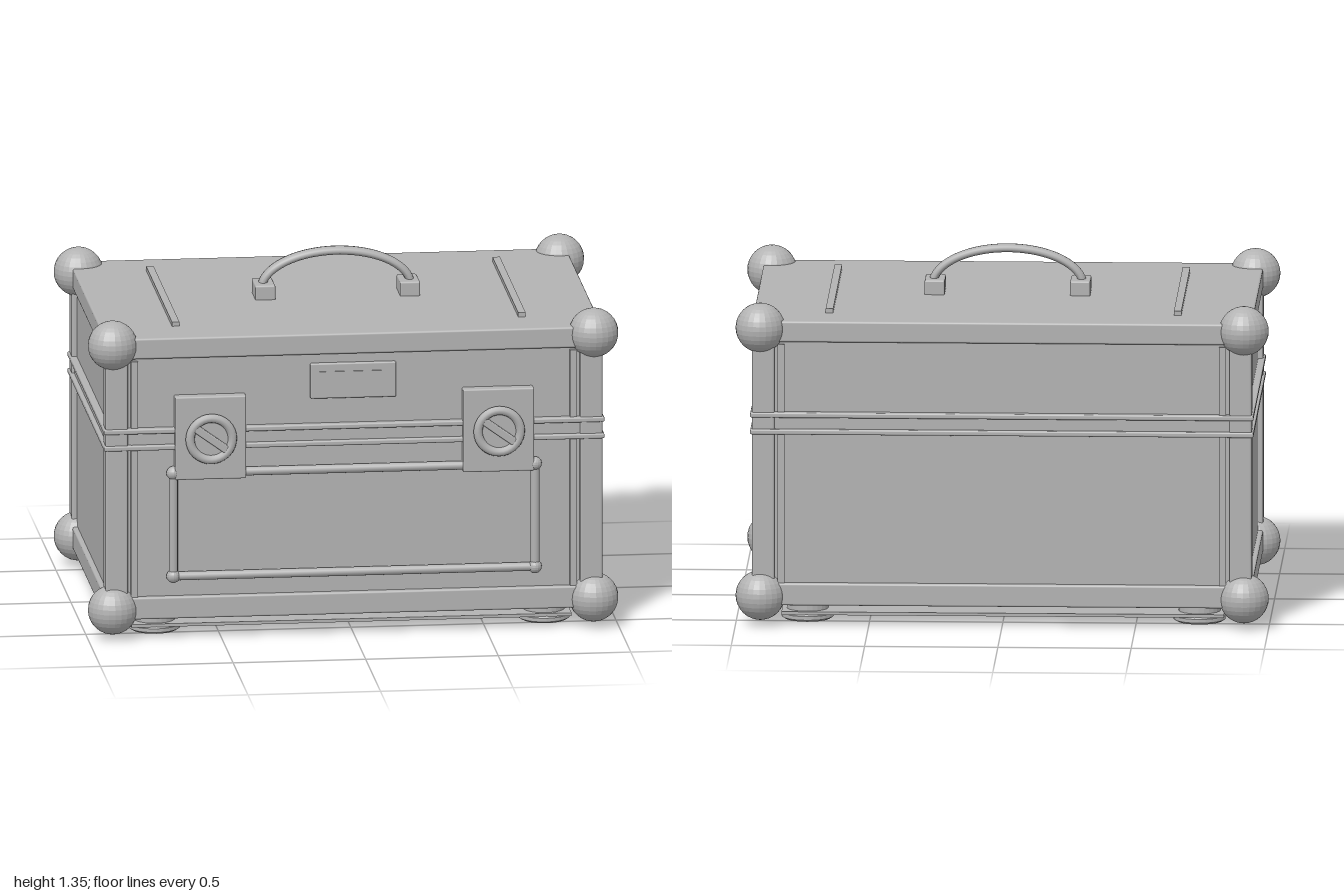
import * as THREE from 'three';
import { RoundedBoxGeometry } from 'three/addons/geometries/RoundedBoxGeometry.js';

export function createModel() {
  const model = new THREE.Group();
  model.name = 'equipmentCase';
  const grey = new THREE.MeshStandardMaterial({ color: 0xb3b3b3 });
  grey.name = 'plain grey';

  function add(name, geometry, x = 0, y = 0, z = 0, parent = model) {
    const mesh = new THREE.Mesh(geometry, grey);
    mesh.name = name;
    mesh.position.set(x, y, z);
    parent.add(mesh);
    return mesh;
  }
  // Box given by its limits, with softened edges when r > 0
  function box(name, x0, x1, y0, y1, z0, z1, r = 0, parent = model) {
    const w = x1 - x0, h = y1 - y0, d = z1 - z0;
    const g = r ? new RoundedBoxGeometry(w, h, d, 2, r) : new THREE.BoxGeometry(w, h, d);
    return add(name, g, (x0 + x1) / 2, (y0 + y1) / 2, (z0 + z1) / 2, parent);
  }
  // Faceted ball
  function ball(radius, w, h) {
    const g = new THREE.SphereGeometry(radius, w, h).toNonIndexed();
    g.computeVertexNormals();
    return g;
  }
  const sides = [-1, 1];

  // Body panels, lid and base rails
  box('bodyPanels', -0.918, 0.918, 0.1, 1.15, -0.592, 0.592);
  box('baseRail', -0.937, 0.937, 0.085, 0.17, -0.613, 0.613, 0.008);
  box('lidRail', -0.937, 0.937, 1.09, 1.17, -0.613, 0.613, 0.008);

  // Seam band with two raised lips
  box('seamBand', -0.928, 0.928, 0.757, 0.802, -0.603, 0.603);
  for (const y of [0.738, 0.802]) {
    box('seamLip', -0.944, 0.944, y, y + 0.02, -0.619, 0.619, 0.006);
  }

  // Corner posts, edge strips, ball corners and feet
  const footProfile = [[0, 0], [0.085, 0], [0.098, 0.008], [0.098, 0.022], [0.088, 0.03],
    [0.078, 0.03], [0.078, 0.09], [0, 0.09]].map(p => new THREE.Vector2(...p));
  for (const sx of sides) {
    for (const sz of sides) {
      const post = new RoundedBoxGeometry(0.084, 0.96, 0.084, 2, 0.008);
      add('cornerPost', post, sx * 0.895, 0.63, sz * 0.571);
      add('edgeStrip', new THREE.BoxGeometry(0.026, 0.91, 0.03), sx * 0.828, 0.625, sz * 0.59);
      for (const y of [0.118, 1.139]) {
        add('ballCorner', ball(0.093, 24, 16), sx * 0.907, y, sz * 0.577);
      }
      const foot = new THREE.LatheGeometry(footProfile, 24).toNonIndexed();
      foot.computeVertexNormals();
      add('foot', foot, sx * 0.735, 0.006, sz * 0.435);
    }
  }
  box('skidPlate', -0.83, 0.83, 0.033, 0.045, -0.525, 0.525);

  // Strips on the lid
  for (const sx of sides) {
    add('lidStrip', new THREE.BoxGeometry(0.028, 0.025, 0.87), sx * 0.653, 1.174, -0.003);
  }

  // Carrying handle: flattened arched tube on two brackets
  const arch = new THREE.CatmullRomCurve3(
    Array.from({ length: 13 }, (_, i) => {
      const a = Math.PI * (1 - i / 12);
      return new THREE.Vector3(0.283 * Math.cos(a), 1.195 + 0.144 * Math.sin(a), 0);
    }));
  add('handleGrip', new THREE.TubeGeometry(arch, 40, 0.016, 12)).scale.z = 1.85;
  for (const sx of sides) {
    add('handleBracket', new RoundedBoxGeometry(0.076, 0.06, 0.13, 2, 0.007), sx * 0.273, 1.195, 0);
  }

  // Front latches with a round turn lock
  for (const sx of sides) {
    const latch = new THREE.Group();
    latch.name = 'latch';
    latch.position.set(sx * 0.543, 0.785, 0);
    model.add(latch);
    box('latchPlate', -0.134, 0.134, -0.16, 0.16, 0.58, 0.634, 0.006, latch);
    const dish = add('lockDisc', new THREE.CylinderGeometry(0.082, 0.088, 0.02, 32), 0, 0, 0.638, latch);
    dish.rotation.x = Math.PI / 2;
    add('lockRing', new THREE.TorusGeometry(0.08, 0.017, 10, 32), 0, 0, 0.65, latch);
    const bar = add('lockBar', new RoundedBoxGeometry(0.15, 0.03, 0.02, 2, 0.005), 0, 0, 0.653, latch);
    bar.rotation.z = -Math.PI / 5;
  }

  // Front rod frame with ball joints
  for (const y of [0.25, 0.648]) {
    const rod = add('frameRodAcross', new THREE.CylinderGeometry(0.017, 0.017, 1.36, 12), 0, y, 0.611);
    rod.rotation.z = Math.PI / 2;
    for (const sx of sides) add('frameJoint', ball(0.026, 16, 10), sx * 0.682, y, 0.611);
  }
  for (const sx of sides) {
    add('frameRodUpright', new THREE.CylinderGeometry(0.017, 0.017, 0.4, 12), sx * 0.682, 0.449, 0.611);
  }

  // Label plate on the lid front
  box('labelPlate', -0.164, 0.16, 0.918, 1.054, 0.58, 0.606, 0.006);
  box('labelLip', -0.13, 0.126, 1.015, 1.023, 0.6, 0.61);

  // Louvred vent panel on the model's left side
  box('ventPanel', 0.9, 0.929, 0.21, 0.668, -0.27, 0.27, 0.005);
  for (let i = 0; i < 6; i++) {
    const y = 0.28 + i * 0.064;
    box('ventSlat', 0.92, 0.936, y, y + 0.012, -0.19, 0.21);
  }

  return model;
}
